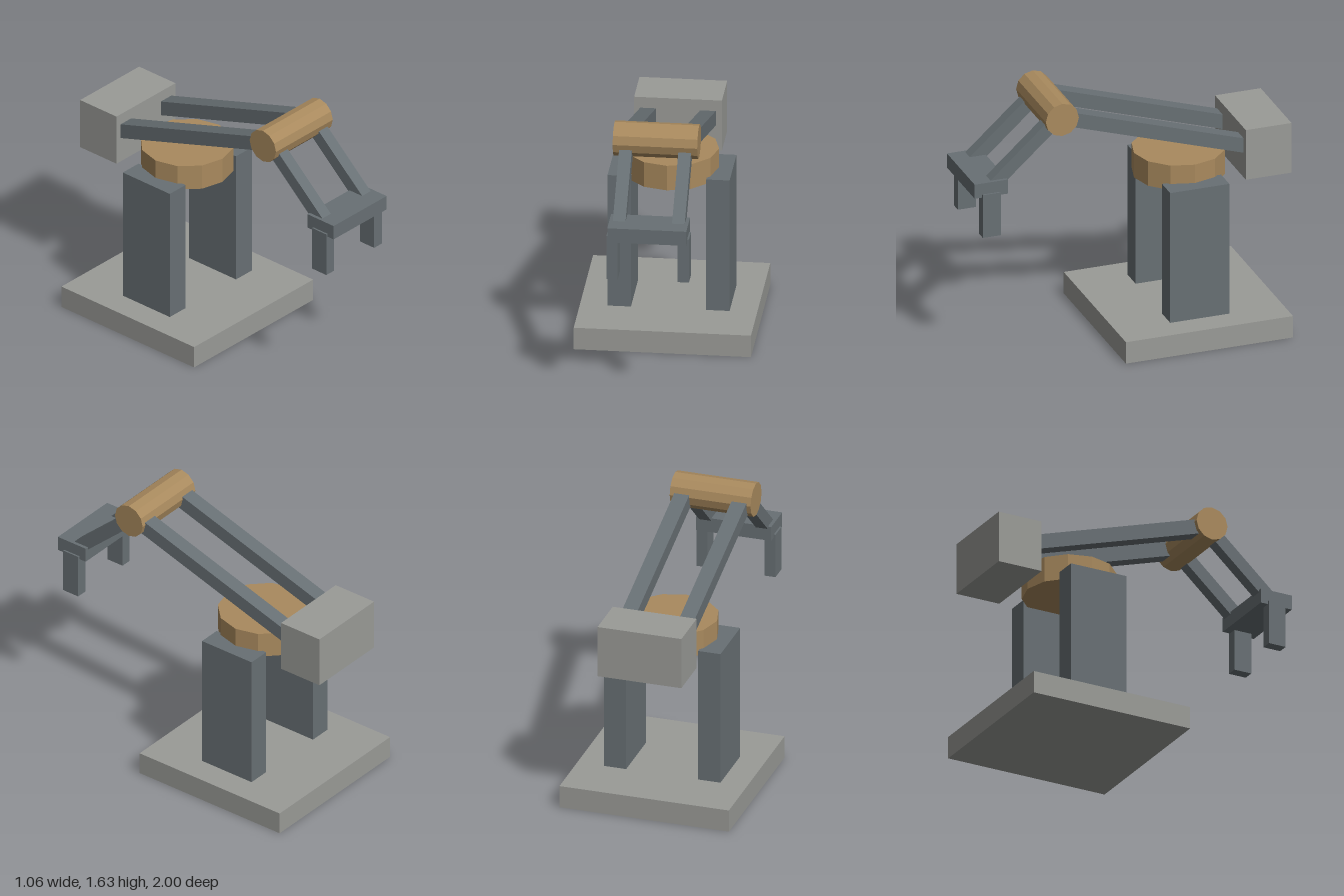
import * as THREE from 'three';

const stone = new THREE.MeshStandardMaterial({ color: 0x9a9b97, flatShading: true });
const steel = new THREE.MeshStandardMaterial({ color: 0x687074, flatShading: true });
const bronze = new THREE.MeshStandardMaterial({ color: 0xa98a5e, flatShading: true });

export function createModel() {
  const model = new THREE.Group();
  model.name = 'roboticArm';

  const add = (name, geometry, material, x, y, z) => {
    const mesh = new THREE.Mesh(geometry, material);
    mesh.name = name;
    mesh.position.set(x, y, z);
    model.add(mesh);
    return mesh;
  };
  const box = (name, material, [w, h, d], [x, y, z]) =>
    add(name, new THREE.BoxGeometry(w, h, d), material, x, y, z);

  // Square bar in a vertical plane, running between two [y, z] points
  const bar = (name, x, width, thickness, [y0, z0], [y1, z1]) => {
    const length = Math.hypot(y1 - y0, z1 - z0);
    const mesh = box(name, steel, [width, thickness, length], [x, (y0 + y1) / 2, (z0 + z1) / 2]);
    mesh.rotation.x = -Math.atan2(y1 - y0, z1 - z0);
  };

  const baseZ = -0.38;
  const elbow = [1.525, 0.45];
  const weight = [1.112, -0.855];
  const wrist = [1.125, 0.895];

  // Base and turntable
  box('base', stone, [1.06, 0.14, 1.06], [0, 0.07, baseZ]);
  add('turntable', new THREE.CylinderGeometry(0.282, 0.282, 0.16, 12), bronze, 0, 1.03, baseZ);

  // Elbow roller lying across the arm
  const roller = new THREE.CylinderGeometry(0.105, 0.105, 0.506, 12).rotateZ(Math.PI / 2);
  add('elbowRoller', roller, bronze, 0, ...elbow);

  // Counterweight and wrist plate
  box('counterweight', stone, [0.525, 0.325, 0.29], [0, ...weight]);
  box('wristPlate', steel, [0.472, 0.092, 0.21], [0, 1.136, 0.895]);

  // Mirrored parts
  for (const [side, s] of [['left', 1], ['right', -1]]) {
    box(side + 'Column', steel, [0.14, 0.86, 0.375], [s * 0.295, 0.56, baseZ]);
    bar(side + 'UpperArm', s * 0.179, 0.094, 0.09, weight, elbow);
    bar(side + 'Forearm', s * 0.177, 0.076, 0.08, wrist, elbow);
    box(side + 'Finger', steel, [0.068, 0.28, 0.114], [s * 0.213, 0.97, 0.895]);
  }
  return model;
}
